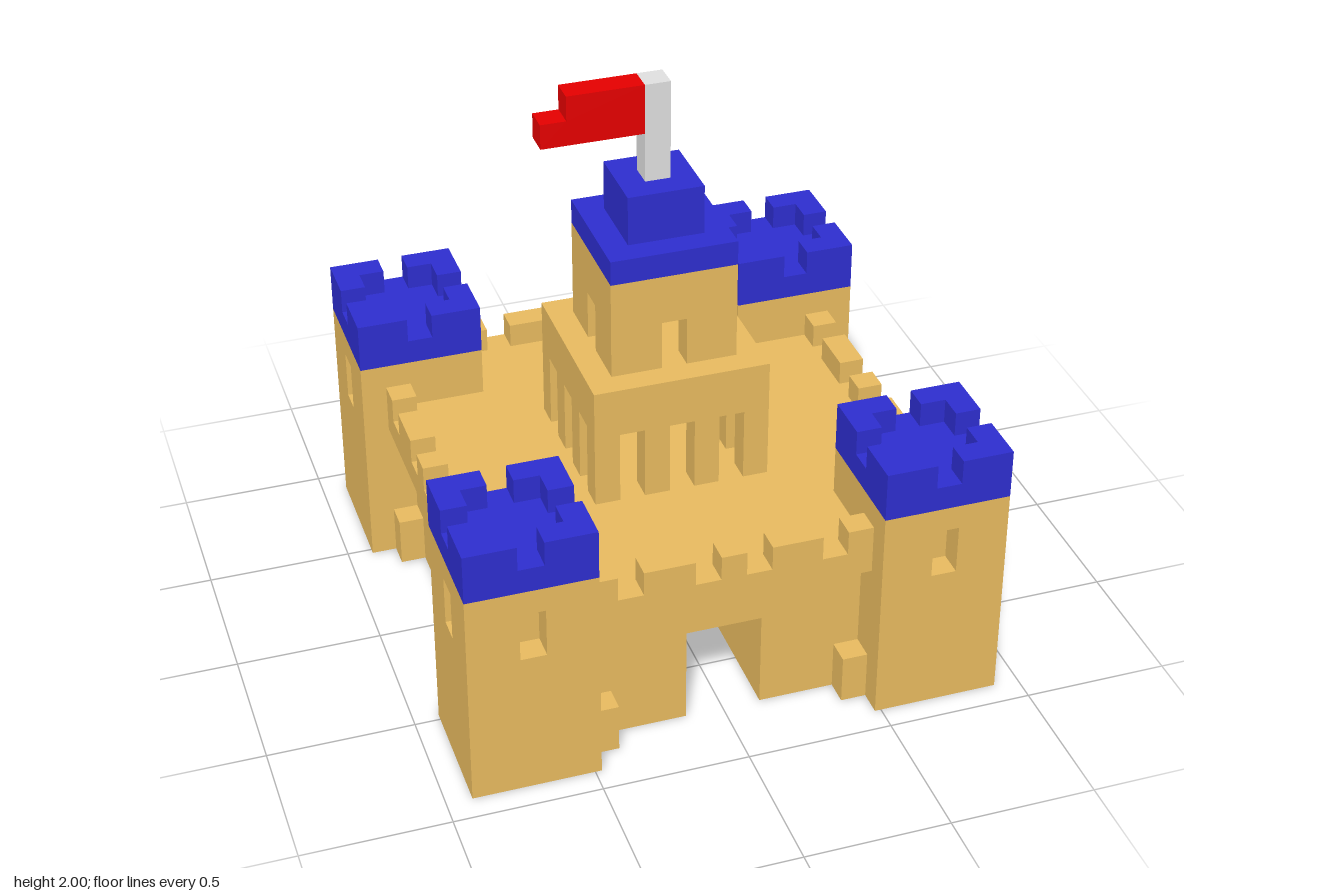
import * as THREE from 'three';

const UNIT = 2 / 23; // one building block

const mat = (name, color) => {
  const m = new THREE.MeshStandardMaterial({ color });
  m.name = name;
  return m;
};

export function createModel() {
  const sand = mat('sandstone', 0xe8ba5f);
  const blue = mat('blue roof', 0x2d2dcd);
  const red = mat('red flag', 0xe40000);
  const grey = mat('grey pole', 0xdedede);

  const group = (name, parent) => {
    const g = new THREE.Group();
    g.name = name;
    parent.add(g);
    return g;
  };

  // Box given by its limits, in blocks
  const box = (name, parent, m, [x0, x1], [y0, y1], [z0, z1]) => {
    const mesh = new THREE.Mesh(new THREE.BoxGeometry(x1 - x0, y1 - y0, z1 - z0), m);
    mesh.position.set((x0 + x1) / 2, (y0 + y1) / 2, (z0 + z1) / 2);
    mesh.name = name;
    parent.add(mesh);
  };

  const polygon = pts => new THREE.Shape(pts.map(p => new THREE.Vector2(...p)));
  const extrude = (name, parent, m, shape, depth) => {
    const mesh = new THREE.Mesh(new THREE.ExtrudeGeometry(shape, { depth, bevelEnabled: false }), m);
    mesh.name = name;
    parent.add(mesh);
    return mesh;
  };

  // Square storey of four walls, with openings rising from the floor
  const storey = (name, parent, half, y, height, openHeight, centres) => {
    const g = group(name, parent);
    g.position.y = y;
    const pts = [[-half, 0]];
    for (const c of centres)
      pts.push([c - 0.5, 0], [c - 0.5, openHeight], [c + 0.5, openHeight], [c + 0.5, 0]);
    pts.push([half, 0], [half, height], [-half, height]);
    for (let i = 0; i < 4; i++) {
      const side = group(name + 'Side', g);
      side.rotation.y = i * Math.PI / 2;
      extrude(name + 'Wall', side, sand, polygon(pts), 1).position.z = half - 1;
    }
  };

  // Tower wall panel with a recessed window
  const windowPanel = (parent, x0, x1) => {
    const s = polygon([[x0, 0], [x1, 0], [x1, 9], [x0, 9]]);
    s.holes.push(polygon([[-0.5, 6], [-0.5, 8], [0.5, 8], [0.5, 6]]));
    return extrude('towerWindowWall', parent, sand, s, 1);
  };

  // Corner tower centred on its own axis, windows on the two outer faces
  const cornerTower = parent => {
    const t = group('cornerTower', parent);
    t.position.set(8, 0, 8);
    box('towerCore', t, sand, [-2.5, 1.5], [0, 9], [-2.5, 1.5]);
    windowPanel(t, -2.5, 2.5).position.z = 1.5;
    const side = windowPanel(t, -1.5, 2.5);
    side.rotation.y = Math.PI / 2;
    side.position.x = 1.5;
    box('towerRoof', t, blue, [-2.5, 2.5], [9, 10], [-2.5, 2.5]);
    const corner = polygon([[0.5, 1.5], [1.5, 1.5], [1.5, 0.5], [2.5, 0.5], [2.5, 2.5], [0.5, 2.5]]);
    for (let i = 0; i < 4; i++) {
      const m = extrude('towerMerlon', t, blue, corner, 1);
      m.rotation.set(-Math.PI / 2, 0, i * Math.PI / 2);
      m.position.y = 10;
    }
  };

  const model = new THREE.Group();
  model.name = 'castle';
  const castle = group('castleBlocks', model);
  castle.scale.setScalar(UNIT);

  // Four equal quarters: tower, base block, buttresses and parapet
  for (let i = 0; i < 4; i++) {
    const q = group('castleQuarter', castle);
    q.rotation.y = i * Math.PI / 2;
    cornerTower(q);
    box('baseBlock', q, sand, [1.5, 8.5], [0, 4], [1.5, 8.5]);
    for (const s of [-1, 1])
      box('buttress', q, sand, [s * 5 - 0.5, s * 5 + 0.5], [0, 2], [8.5, 9.5]);
    for (const [a, b] of [[-5.5, -4.5], [-3.5, -1.5], [-0.5, 0.5], [1.5, 3.5], [4.5, 5.5]])
      box('wallMerlon', q, sand, [a, b], [7, 8], [8.5, 9.5]);
  }

  // Upper walls above the gates, and the overhanging deck
  box('gateLintel', castle, sand, [-8.5, 8.5], [4, 6], [-8.5, 8.5]);
  box('deck', castle, sand, [-9.5, 9.5], [6, 7], [-9.5, 9.5]);

  // Central keep
  storey('keepLower', castle, 3.5, 7, 5, 3, [-2, 0, 2]);
  box('keepFloor', castle, sand, [-2.5, 2.5], [11, 12], [-2.5, 2.5]);
  storey('keepUpper', castle, 2.5, 12, 4, 2, [0]);
  box('keepRoofLower', castle, blue, [-2.5, 2.5], [16, 17], [-2.5, 2.5]);
  box('keepRoofUpper', castle, blue, [-1.5, 1.5], [17, 19], [-1.5, 1.5]);

  // Flag and pole
  box('flagPole', castle, grey, [-0.5, 0.5], [19, 23], [-0.5, 0.5]);
  const flag = polygon([[-4.5, 21], [-0.5, 21], [-0.5, 23], [-3.5, 23], [-3.5, 22], [-4.5, 22]]);
  extrude('flag', castle, red, flag, 1).position.z = -0.5;

  return model;
}
